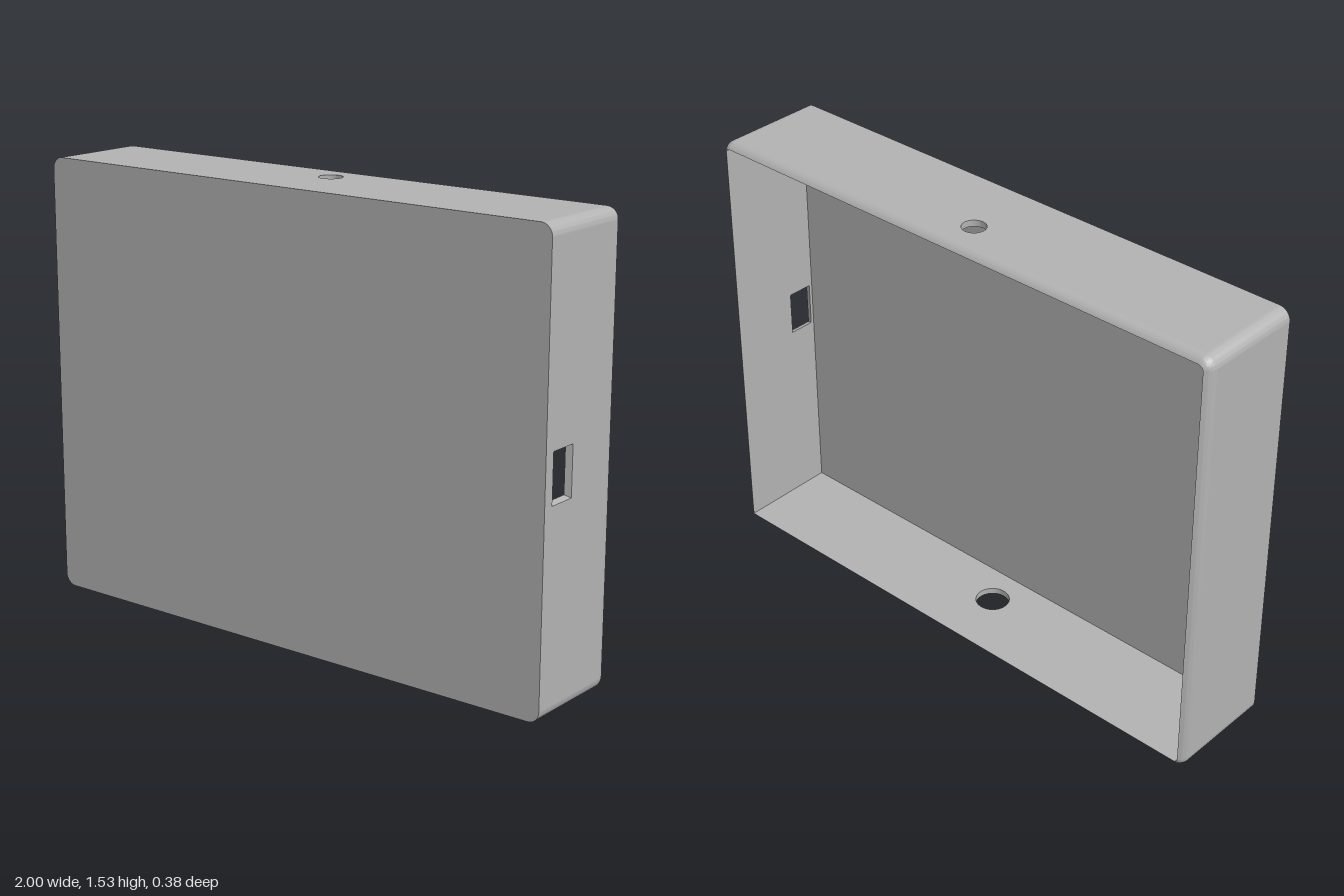
import * as THREE from 'three';
import { toCreasedNormals } from 'three/addons/utils/BufferGeometryUtils.js';

const W = 1, H = 0.765;            // half width and half height
const FRONT = 0.19, RIM = -0.19;   // front face and open back rim
const FLOOR = 0.155;               // inner face of the front plate
const T = 0.022, R = 0.04;         // wall thickness, edge radius
const END = Math.acos(1 - T / R);  // the rounding stops where it meets the inner wall
const BEND = RIM + R * Math.sin(END);
const SEG = 10;

// Skin between rings of points; skip(i, j) leaves quads open
function loft(rings, skip = () => false) {
  const pos = [];
  const n = rings[0].length;
  for (let i = 0; i < rings.length - 1; i++) {
    for (let j = 0; j < n; j++) {
      if (skip(i, j)) continue;
      const k = (j + 1) % n;
      const a = rings[i][j], b = rings[i][k], c = rings[i + 1][k], d = rings[i + 1][j];
      pos.push(...a, ...c, ...b, ...a, ...d, ...c);
    }
  }
  const geo = new THREE.BufferGeometry();
  geo.setAttribute('position', new THREE.Float32BufferAttribute(pos, 3));
  return toCreasedNormals(geo, 0.6);
}

// Rounded rectangle ring, counter-clockwise
function roundedRing(inset, radius, z) {
  const ring = [];
  [[1, 1], [-1, 1], [-1, -1], [1, -1]].forEach(([sx, sy], q) => {
    for (let s = 0; s <= SEG; s++) {
      const a = (q + s / SEG) * Math.PI / 2;
      ring.push([
        sx * (W - inset - radius) + radius * Math.cos(a),
        sy * (H - inset - radius) + radius * Math.sin(a), z]);
    }
  });
  return ring;
}

const circle = (r) => Array.from({ length: 40 }, (_, i) =>
  [r * Math.cos(i * Math.PI / 20), r * Math.sin(i * Math.PI / 20)]);
const rect = (u, v) => [[u, v], [-u, v], [-u, -v], [u, -v]];

// Flat skin with an optional hole; sign tells which way shape y runs along z
function skin(half, z0, z1, sign, hole, holeZ) {
  const shape = new THREE.Shape(rect(half, 1).map(([u, v]) =>
    new THREE.Vector2(u, sign * (v > 0 ? z1 : z0))));
  if (hole) {
    shape.holes.push(new THREE.Path(hole.map(([u, v]) =>
      new THREE.Vector2(u, sign * (v + holeZ)))));
  }
  return new THREE.ShapeGeometry(shape).rotateX(sign * Math.PI / 2);
}

export function createModel() {
  const model = new THREE.Group();
  model.name = 'openCase';
  const grey = new THREE.MeshStandardMaterial({ color: 0xb3b3b3 });
  grey.name = 'grey';
  const add = (parent, name, geo) => {
    const mesh = new THREE.Mesh(geo, grey);
    mesh.name = name;
    parent.add(mesh);
    return mesh;
  };
  const body = new THREE.Group();
  body.name = 'caseBody';
  body.position.y = H;
  model.add(body);

  // Front plate
  const outline = roundedRing(0, R, 0).map(([x, y]) => new THREE.Vector2(x, y));
  add(body, 'frontPlate', new THREE.ShapeGeometry(new THREE.Shape(outline))).position.z = FRONT;
  add(body, 'frontPlateInside',
    new THREE.PlaneGeometry(2 * (W - T), 2 * (H - T)).rotateY(Math.PI)).position.z = FLOOR;

  // Rounded corners and back rim, ending in a square-cornered opening
  const rings = [roundedRing(0, R, FRONT)];
  for (let i = 0; i <= SEG; i++) {
    const a = END * i / SEG;
    const inset = R * (1 - Math.cos(a));
    rings.push(roundedRing(inset, R - inset, BEND - R * Math.sin(a)));
  }
  rings.push(roundedRing(T, 0, RIM));
  add(body, 'roundedEdges', loft(rings, (i, j) => i === 0 && j % (SEG + 1) === SEG));

  // Walls: outer skin, inner skin and the sleeve of the hole through them
  function wall(name, angle, half, dist, holeZ, outer, inner) {
    const g = new THREE.Group();
    g.name = name;
    g.rotation.z = angle;
    body.add(g);
    add(g, name + 'Outside', skin(half - R, BEND, FRONT, -1, outer, holeZ)).position.y = dist;
    add(g, name + 'Inside', skin(half - T, RIM, FLOOR, 1, inner, holeZ)).position.y = dist - T;
    if (outer) {
      add(g, name + 'Hole', loft([
        outer.map(([u, v]) => [u, dist, v + holeZ]),
        inner.map(([u, v]) => [u, dist - T, v + holeZ])]));
    }
  }
  wall('topWall', 0, W, H, -0.06, circle(0.04), circle(0.04));
  wall('bottomWall', Math.PI, W, H, 0.028, circle(0.058), circle(0.058));
  wall('leftWall', -Math.PI / 2, H, W, 0.0975, rect(0.084, 0.0525), rect(0.0765, 0.0455));
  wall('rightWall', Math.PI / 2, H, W, 0);

  return model;
}
